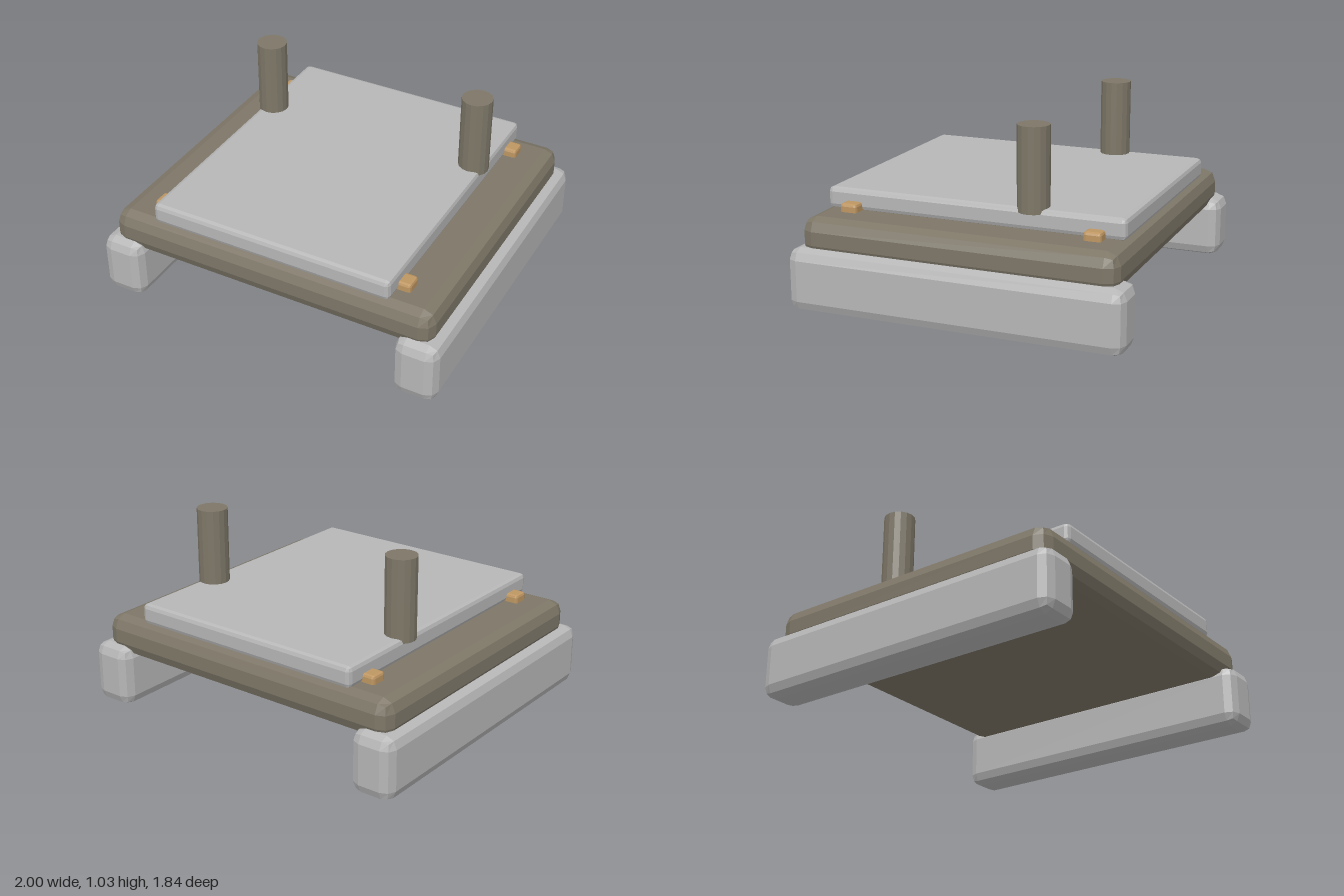
import * as THREE from 'three';
import { RoundedBoxGeometry } from 'three/addons/geometries/RoundedBoxGeometry.js';

function makeMaterial(name, color) {
  const m = new THREE.MeshStandardMaterial({ color, flatShading: true });
  m.name = name;
  return m;
}

export function createModel() {
  const group = new THREE.Group();
  const grey = makeMaterial('light grey', 0xb6b6b6);
  const olive = makeMaterial('olive brown', 0x7e7768);
  const tan = makeMaterial('tan', 0xbe9662);

  function add(name, geometry, material, x, y, z) {
    const mesh = new THREE.Mesh(geometry, material);
    mesh.name = name;
    mesh.position.set(x, y, z);
    group.add(mesh);
  }

  // Bevelled block spanning y0..y1, centred on x and z
  function block(name, material, width, y0, y1, depth, bevel, x = 0, z = 0) {
    const geometry = new RoundedBoxGeometry(width, y1 - y0, depth, 1, bevel);
    add(name, geometry, material, x, (y0 + y1) / 2, z);
  }

  // Main slab and the raised plate on top of it
  block('baseSlab', olive, 1.885, 0.285, 0.5, 1.73, 0.07);
  block('topPlate', grey, 1.39, 0.495, 0.61, 1.66, 0.025);

  for (const [side, s] of [['left', 1], ['right', -1]]) {
    // Long runner under each side
    block(side + 'Runner', grey, 0.243, 0, 0.342, 1.84, 0.06, s * 0.8785);

    // Upright post standing on the plate edge
    add(side + 'Post', new THREE.CylinderGeometry(0.085, 0.085, 0.447, 16), olive, s * 0.635, 0.8085, -0.32);

    // Small clips peeking out from under the plate
    for (const [end, e] of [['Front', 1], ['Back', -1]]) {
      block(side + end + 'Clip', tan, 0.11, 0.475, 0.545, 0.095, 0.015, s * 0.707, e * 0.675);
    }
  }
  return group;
}
